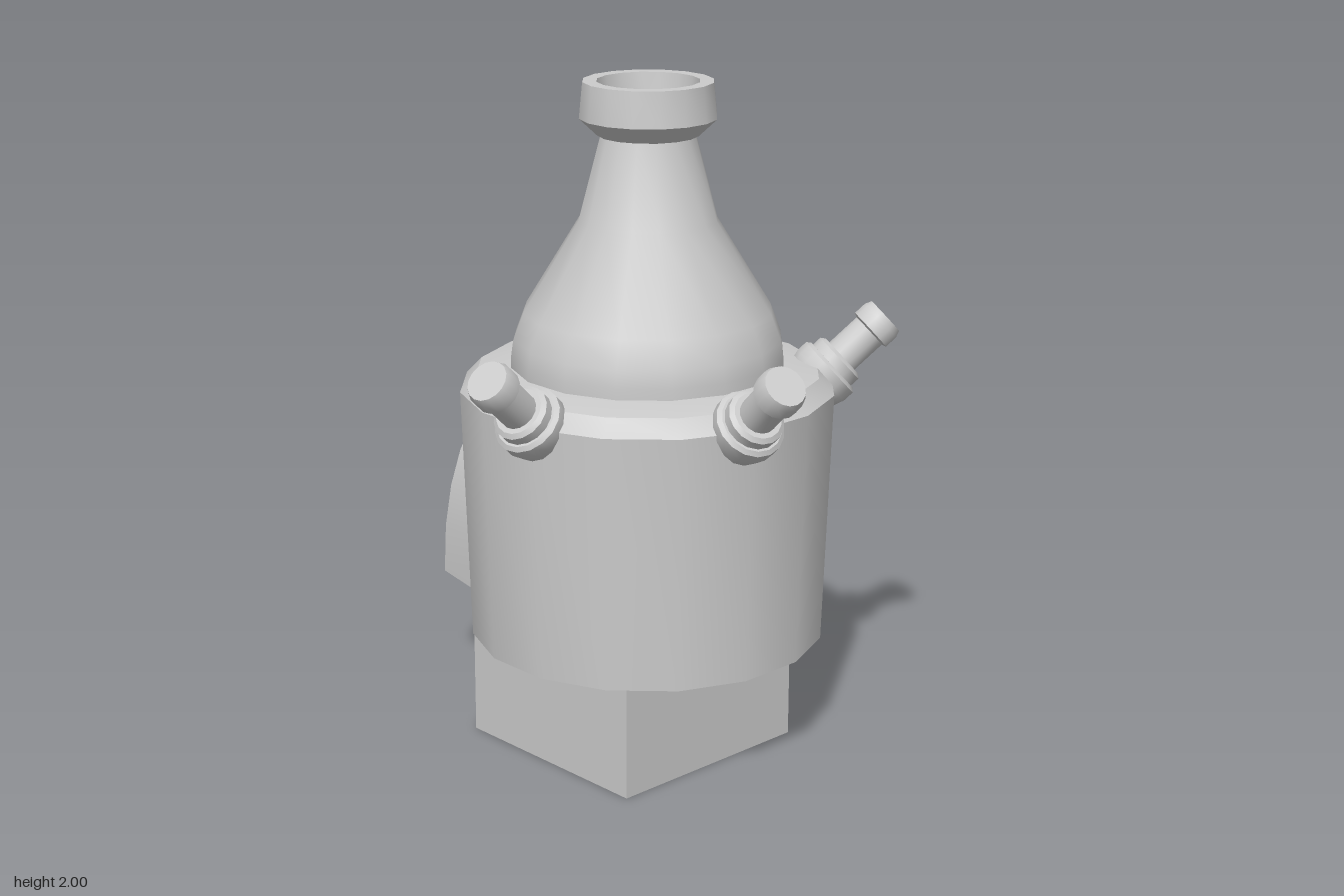
import * as THREE from 'three';
import { toCreasedNormals } from 'three/addons/utils/BufferGeometryUtils.js';

const SIDES = 16;
const material = new THREE.MeshStandardMaterial({ color: 0xcccccc });

function part(name, geometry, crease = 0.6) {
  const mesh = new THREE.Mesh(toCreasedNormals(geometry, crease), material);
  mesh.name = name;
  return mesh;
}

// Turned part with flats facing the axes; profile is [radius, height], bottom to top
function turned(profile, sides = SIDES) {
  const k = 1 / Math.cos(Math.PI / sides);
  const points = profile.map(([r, y]) => new THREE.Vector2(r * k, y));
  return new THREE.LatheGeometry(points, sides, Math.PI / sides);
}

// Small capped pipe with a ball socket at its origin, pointing along +y
function nozzle(name) {
  const profile = [
    [0, -0.1], [0.05, -0.087], [0.087, -0.05], [0.102, 0], [0.102, 0.035], [0.09, 0.045],
    [0.083, 0.045], [0.083, 0.075], [0.07, 0.085], [0.055, 0.085],
    [0.055, 0.195], [0.068, 0.2], [0.068, 0.24], [0.06, 0.26], [0, 0.26],
  ];
  return part(name, turned(profile));
}

// Arched housing: half oval outline, extruded towards +z from the back of the body
function archGeometry(halfWidth, height, depth) {
  const shape = new THREE.Shape();
  const steps = 14;
  for (let i = 0; i <= steps; i++) {
    const a = (i / steps) * Math.PI;
    const c = Math.cos(a);
    const x = halfWidth * Math.sign(c) * Math.abs(c) ** 0.92;
    const y = height * Math.max(0, Math.sin(a)) ** 0.92;
    if (i === 0) shape.moveTo(x, 0);
    else shape.lineTo(x, i === steps ? 0 : y);
  }
  shape.closePath();
  const bevel = 0.012;
  return new THREE.ExtrudeGeometry(shape, {
    depth: depth - bevel, bevelEnabled: true, bevelSegments: 1,
    bevelSize: bevel, bevelThickness: bevel, bevelOffset: -bevel,
  });
}

export function createModel() {
  const model = new THREE.Group();
  model.name = 'vessel';

  // Square foot, running up into the body
  const foot = part('foot', new THREE.BoxGeometry(0.676, 0.7, 0.678));
  foot.position.y = 0.35;
  model.add(foot);

  // Everything above the foot shares one slightly offset axis
  const upper = new THREE.Group();
  upper.name = 'upperAssembly';
  upper.position.set(0.055, 0, 0.01);
  model.add(upper);

  // Tapered drum with a bevelled shoulder
  upper.add(part('body', turned([
    [0, 0.342], [0.521, 0.342], [0.545, 1.1], [0.5, 1.148], [0.4, 1.167], [0, 1.167],
  ])));

  // Dome narrowing to a neck
  upper.add(part('domeAndNeck', turned([
    [0.397, 1.15], [0.397, 1.2], [0.39, 1.25], [0.36, 1.33],
    [0.2, 1.597], [0.135, 1.85],
  ])));

  // Flared collar with a recessed mouth
  upper.add(part('mouthCollar', turned([
    [0.1, 1.845], [0.145, 1.845], [0.197, 1.895], [0.187, 2],
    [0.147, 2], [0.132, 1.88], [0, 1.88],
  ])));

  // Arched housing on the back
  const housing = part('rearHousing', archGeometry(0.32, 0.613, 0.4), 0.5);
  housing.position.set(0.203, 0.342, -0.695);
  housing.rotation.y = -THREE.MathUtils.degToRad(11.8);
  model.add(housing);

  // Three nozzles around the front shoulder, leaning outwards
  const names = ['leftNozzle', 'frontNozzle', 'rightNozzle'];
  [33.5, 102.3, 171].forEach((degrees, i) => {
    const arm = new THREE.Group();
    arm.name = names[i] + 'Mount';
    arm.rotation.y = -THREE.MathUtils.degToRad(degrees);
    const pipe = nozzle(names[i]);
    pipe.position.set(0.525, 1.1, 0);
    pipe.rotation.z = -THREE.MathUtils.degToRad(48);
    arm.add(pipe);
    upper.add(arm);
  });

  return model;
}
